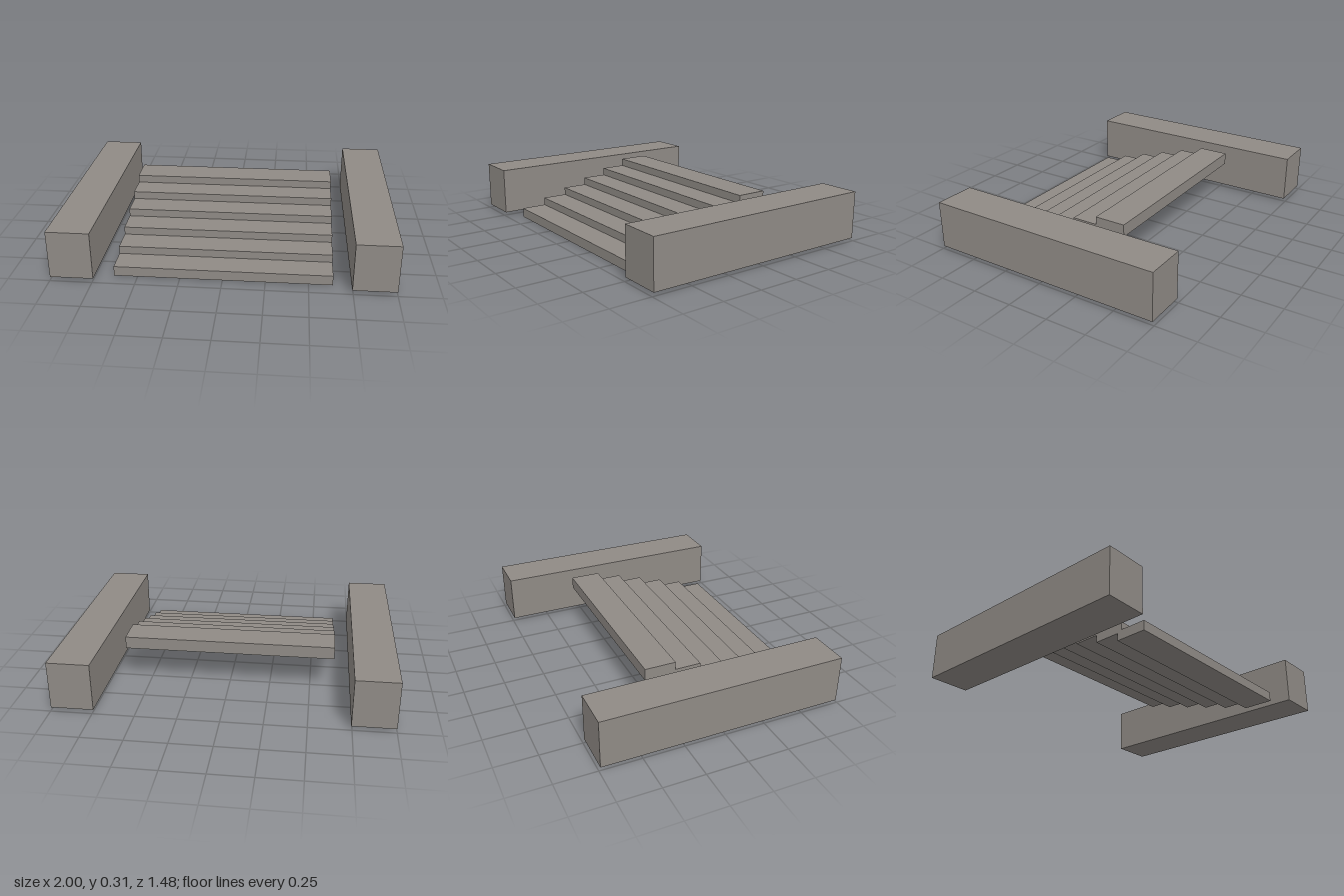
import * as THREE from 'three';

export function createModel() {
  const model = new THREE.Group();
  const stone = new THREE.MeshStandardMaterial({ color: 0x8f8a85 });
  stone.name = 'warm grey stone';

  // Adds a box given its size, bottom height and centre
  function block(name, width, height, depth, x, bottom, z) {
    const mesh = new THREE.Mesh(new THREE.BoxGeometry(width, height, depth), stone);
    mesh.name = name;
    mesh.position.set(x, bottom + height / 2, z);
    model.add(mesh);
  }

  // Low walls on both sides
  block('leftWall', 0.255, 0.292, 1.48, 0.8725, 0.02, 0);
  block('rightWall', 0.255, 0.292, 1.48, -0.8725, 0.02, 0);

  // Overlapping treads climbing towards the back, slightly thicker near the top
  for (let i = 0; i < 6; i++) {
    const top = 0.06 + i * 0.0485;
    const thickness = 0.06 + i * 0.003;
    block('step' + (i + 1), 1.28, thickness, 0.19, 0, top - thickness, 0.565 - i * 0.16);
  }
  return model;
}
